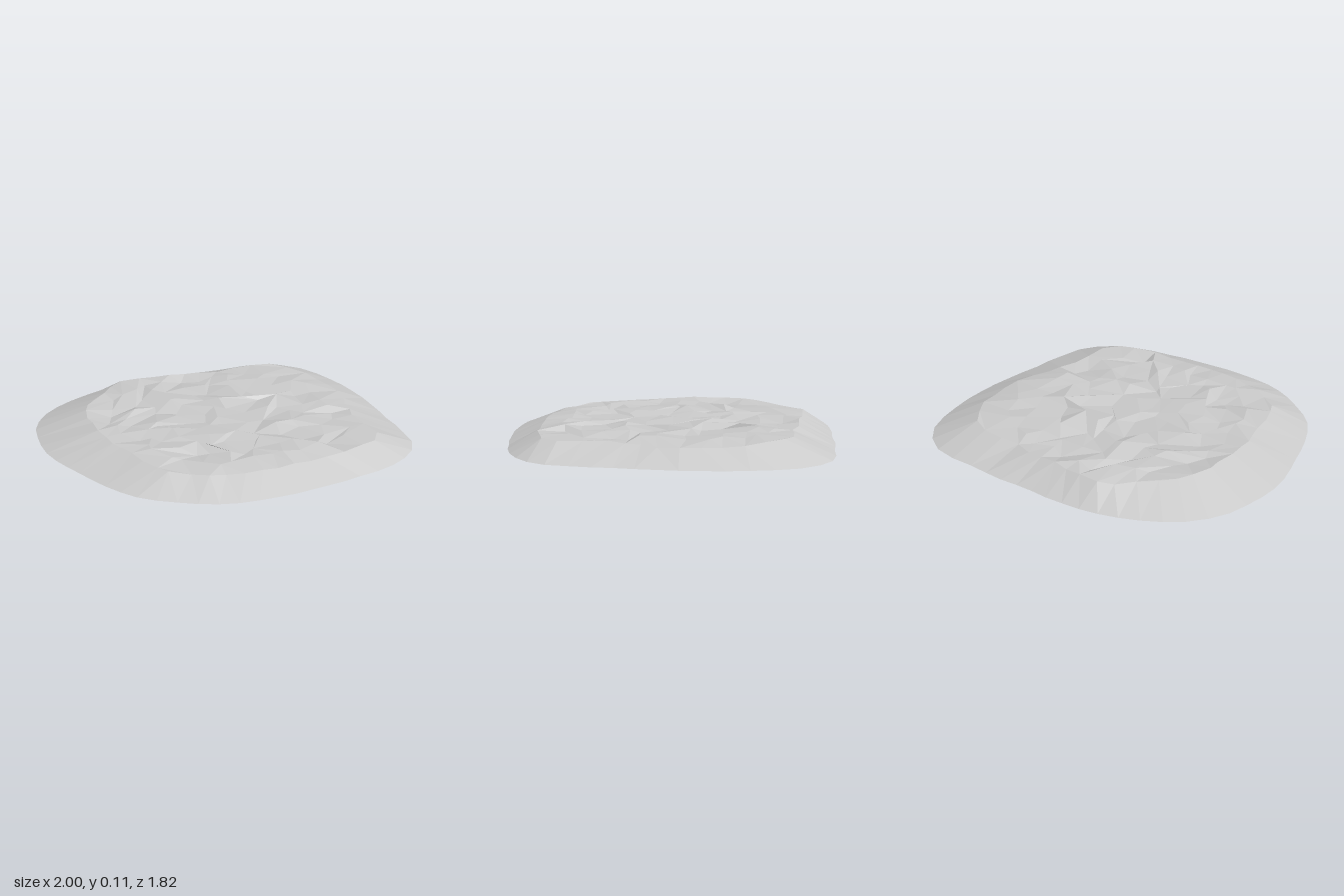
import * as THREE from 'three';

// Rim of the slab as x, z pairs, going round from the right edge
const RIM = [
  [0.99, 0], [0.96, 0.2], [0.93, 0.47], [0.91, 0.58], [0.88, 0.64], [0.8, 0.72], [0.7, 0.78], [0.6, 0.82],
  [0.4, 0.855], [0.15, 0.885], [-0.1, 0.9], [-0.2, 0.895], [-0.32, 0.88], [-0.45, 0.835], [-0.6, 0.74],
  [-0.74, 0.63], [-0.82, 0.5], [-0.88, 0.35], [-0.93, 0.18], [-0.98, 0.02], [-1, -0.15], [-0.98, -0.3],
  [-0.95, -0.45], [-0.87, -0.6], [-0.78, -0.69], [-0.6, -0.8], [-0.46, -0.855], [-0.2, -0.9], [0.05, -0.897],
  [0.4, -0.9], [0.65, -0.9], [0.75, -0.87], [0.85, -0.79], [0.92, -0.69], [0.97, -0.5], [1, -0.2],
];
// Crest where the sloping edge meets the top, every 22.5 degrees: share of the radius, and height
const CREST_RADIUS = [0.8, 0.73, 0.84, 0.82, 0.8, 0.8, 0.8, 0.74, 0.71, 0.72, 0.75, 0.85, 0.81, 0.76, 0.78, 0.82];
const CREST_HEIGHT = [0.075, 0.09, 0.085, 0.08, 0.08, 0.08, 0.09, 0.1, 0.105, 0.108, 0.1, 0.1, 0.1, 0.088, 0.098, 0.08];
// Hollows in the top: x, z, depth
const HOLLOWS = [
  [0, -0.6, 0.022], [0.36, -0.55, 0.015], [0.62, 0.25, 0.018], [0.42, 0.5, 0.018],
  [-0.6, -0.2, 0.012], [0.05, 0.1, 0.014], [-0.3, 0.35, 0.012],
];
const HALF = 7; // rings from centre to rim
const TURN = Math.PI * 2;

function seeded(seed) {
  return () => (seed = (seed * 16807) % 2147483647) / 2147483647;
}

function rimRadius(angle) {
  const a = ((angle % TURN) + TURN) % TURN;
  const polar = RIM.map(([x, z]) => [(Math.atan2(z, x) + TURN) % TURN, Math.hypot(x, z)]);
  polar.push([TURN, polar[0][1]]);
  const k = Math.max(1, polar.findIndex(p => p[0] >= a));
  const [a0, r0] = polar[k - 1], [a1, r1] = polar[k];
  return THREE.MathUtils.lerp(r0, r1, (a - a0) / (a1 - a0));
}

function around(table, angle) {
  const f = (((angle / TURN) % 1) + 1) % 1 * table.length;
  const i = Math.floor(f);
  return THREE.MathUtils.lerp(table[i % table.length], table[(i + 1) % table.length], f - i);
}

// Square grid cell turned into a ring number and an angle
function ringAndAngle(u, v) {
  if (u === 0 && v === 0) return [0, 0];
  if (Math.abs(u) >= Math.abs(v)) return [Math.abs(u), (Math.PI / 4) * (v / u) + (u < 0 ? Math.PI : 0)];
  return [Math.abs(v), Math.PI / 2 - (Math.PI / 4) * (u / v) + (v < 0 ? Math.PI : 0)];
}

function rockGeometry() {
  const random = seeded(4711);
  const spread = size => (random() * 2 - 1) * size;
  const positions = [], index = [];
  const n = HALF * 2, row = n + 1;

  for (let j = 0; j <= n; j++) {
    for (let i = 0; i <= n; i++) {
      const [ring, angle] = ringAndAngle(i - HALF, j - HALF);
      const crest = around(CREST_RADIUS, angle);
      const share = ring === HALF ? 1 : crest * ring / (HALF - 1);
      let x = Math.cos(angle) * rimRadius(angle) * share;
      let z = Math.sin(angle) * rimRadius(angle) * share;
      let y;
      if (ring === HALF) {
        y = 0.007 * (1 - x); // rim tilts up slightly to one side
      } else if (ring === HALF - 1) {
        x += spread(0.015);
        z += spread(0.015);
        y = around(CREST_HEIGHT, angle) + spread(0.005);
      } else {
        x += spread(0.042);
        z += spread(0.042);
        y = 0.1 + spread(0.014);
        for (const [hx, hz, depth] of HOLLOWS) {
          y -= depth * Math.exp(-((x - hx) ** 2 + (z - hz) ** 2) / 0.015);
        }
      }
      positions.push(x, Math.min(Math.max(y, 0), 0.114), z);
    }
  }

  for (let j = 0; j < n; j++) {
    for (let i = 0; i < n; i++) {
      const a = j * row + i, b = a + row, c = b + 1, d = a + 1;
      const edge = i === 0 || j === 0 || i === n - 1 || j === n - 1;
      const outward = (i < HALF) === (j < HALF);
      if (edge ? outward : random() < 0.5) index.push(a, b, c, a, c, d);
      else index.push(a, b, d, b, c, d);
    }
  }

  const grid = new THREE.BufferGeometry();
  grid.setAttribute('position', new THREE.Float32BufferAttribute(positions, 3));
  grid.setIndex(index);
  const faceted = grid.toNonIndexed();
  faceted.computeVertexNormals();
  return faceted;
}

export function createModel() {
  const group = new THREE.Group();
  group.name = 'flatRock';
  const stone = new THREE.MeshStandardMaterial({ color: 0xcccccc, flatShading: true, side: THREE.DoubleSide });
  stone.name = 'light grey stone';
  // Thin open shell with a chipped top and sloping edges
  const slab = new THREE.Mesh(rockGeometry(), stone);
  slab.name = 'rockSlab';
  group.add(slab);
  return group;
}
